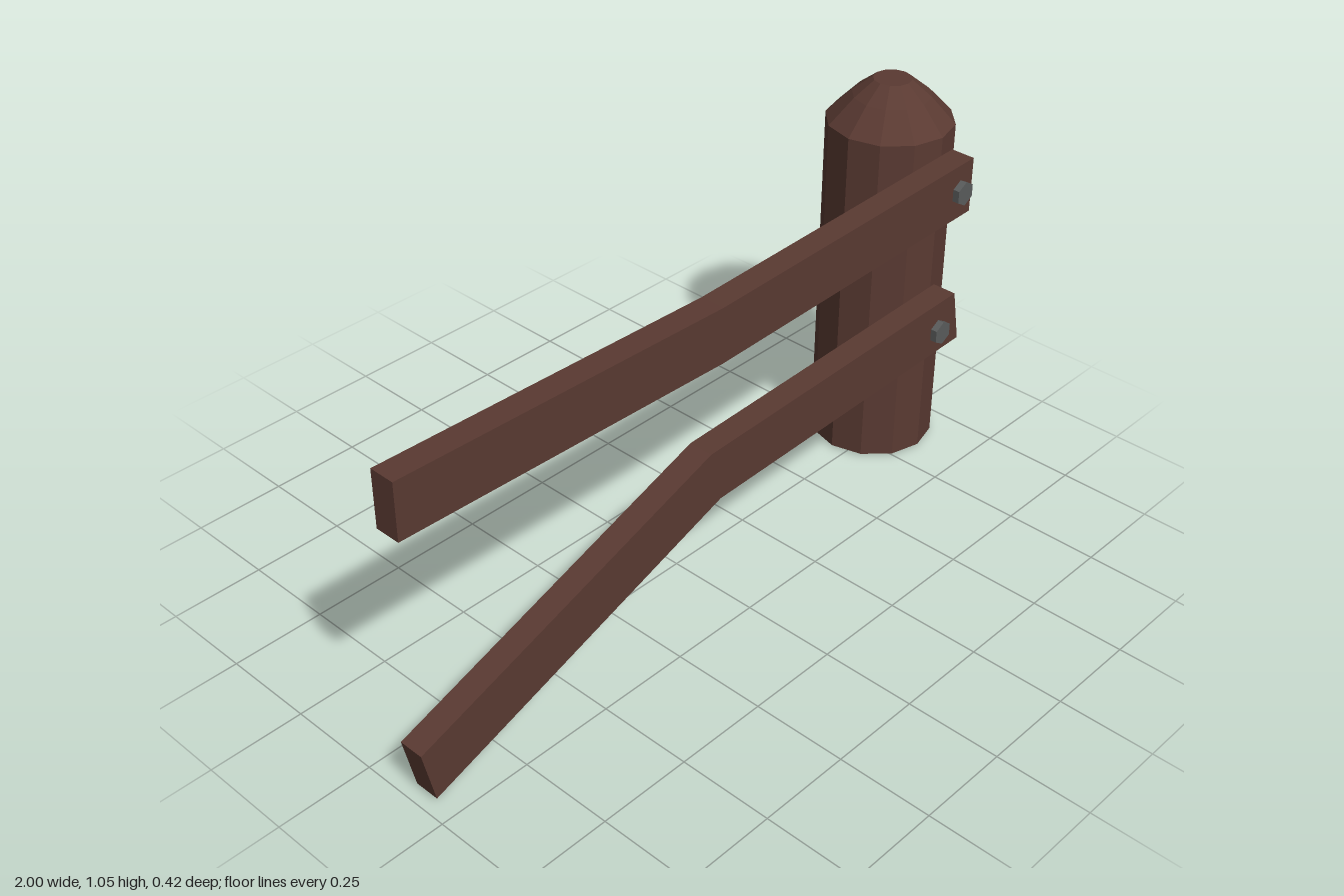
import * as THREE from 'three';

const wood = new THREE.MeshStandardMaterial({ color: 0x5a3a32, flatShading: true });
const steel = new THREE.MeshStandardMaterial({ color: 0x5a5c5c, flatShading: true });

const RAIL_BACK = 0.126;
const RAIL_FRONT = 0.193;

function add(group, name, geometry, material, x = 0, y = 0, z = 0) {
  const mesh = new THREE.Mesh(geometry, material);
  mesh.name = name;
  mesh.position.set(x, y, z);
  group.add(mesh);
}

// Plank with a bent side outline, extruded through its thickness
function railGeometry(outline) {
  const shape = new THREE.Shape(outline.map(([x, y]) => new THREE.Vector2(x, y)));
  return new THREE.ExtrudeGeometry(shape, { depth: RAIL_FRONT - RAIL_BACK, bevelEnabled: false });
}

export function createModel() {
  const model = new THREE.Group();
  model.name = 'brokenFence';

  // Twelve-sided post with a chamfered, domed top
  const profile = [
    [0, 0], [0.12, 0], [0.167, 0.006], [0.167, 0.945], [0.102, 1.013], [0.05, 1.055], [0, 1.055],
  ].map(([r, y]) => new THREE.Vector2(r, y));
  add(model, 'post', new THREE.LatheGeometry(profile, 12), wood, 0.832, 0, -0.042);

  // Upper rail sags slightly in the middle
  add(model, 'upperRail', railGeometry([
    [-1, 0.747], [-0.05, 0.72], [0.876, 0.747],
    [0.876, 0.897], [-0.05, 0.869], [-1, 0.896],
  ]), wood, 0, 0, RAIL_BACK);

  // Lower rail is snapped down towards the ground
  add(model, 'lowerRail', railGeometry([
    [-0.965, 0.012], [-0.05, 0.337], [0.875, 0.366],
    [0.846, 0.514], [-0.085, 0.483], [-0.997, 0.16],
  ]), wood, 0, 0, RAIL_BACK);

  // Hexagonal bolt heads
  const bolt = new THREE.CylinderGeometry(0.0325, 0.0325, 0.024, 6).rotateX(Math.PI / 2);
  bolt.rotateZ(0);
  add(model, 'upperBolt', bolt, steel, 0.828, 0.82, 0.199);
  add(model, 'lowerBolt', bolt, steel, 0.783, 0.428, 0.199);

  return model;
}
